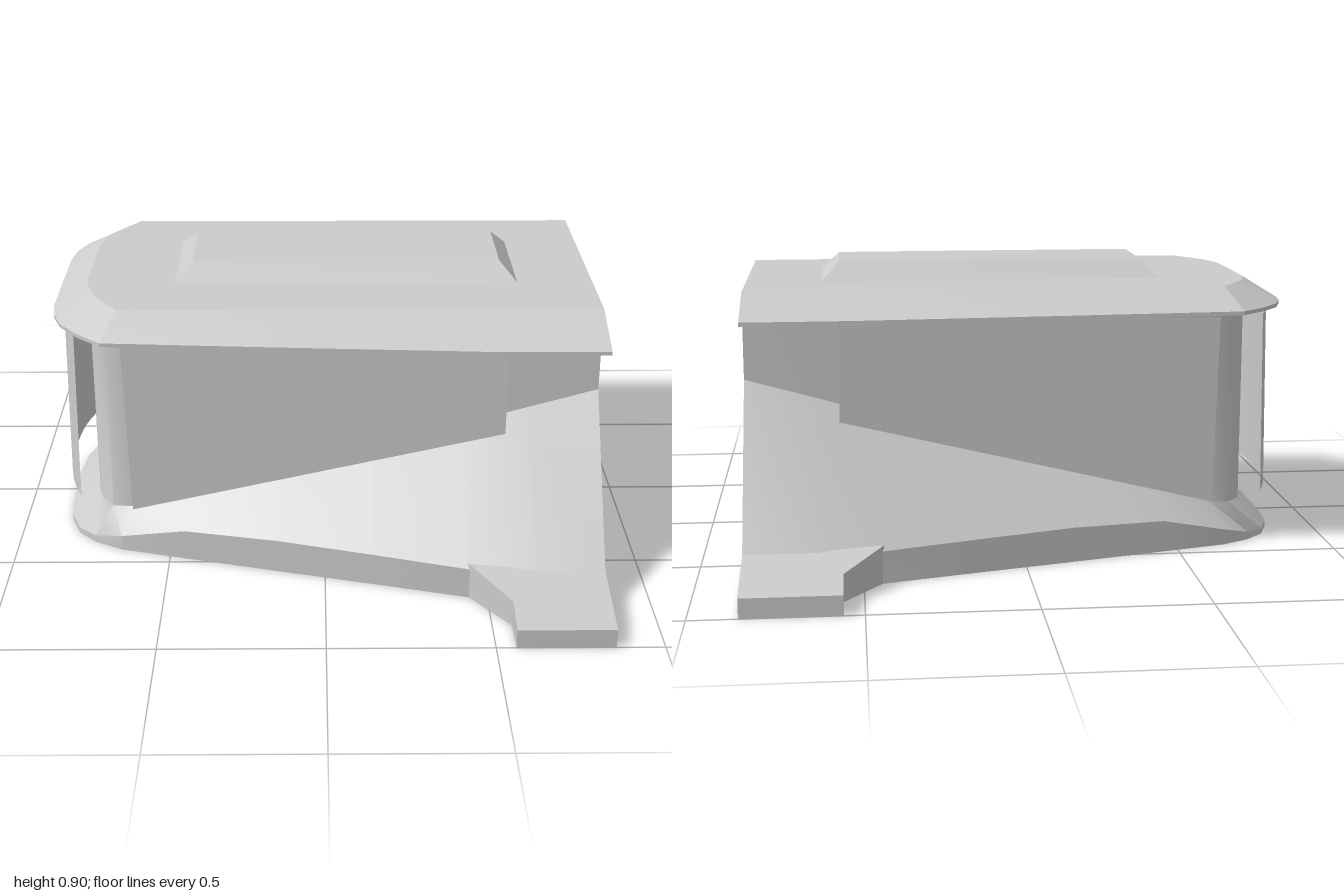
import * as THREE from 'three';
import { toCreasedNormals } from 'three/addons/utils/BufferGeometryUtils.js';

const material = new THREE.MeshStandardMaterial({ color: 0xcccccc });
const sheetMaterial = new THREE.MeshStandardMaterial({ color: 0xcccccc, side: THREE.DoubleSide });

// Solid from stacked half outlines of [x, y, z], mirrored in z, flat at the +x end
function loft(halfRings, crease) {
  const rings = halfRings.map((h) => [...h, ...h.map(([x, y, z]) => [x, y, -z]).reverse()]);
  const pos = [];
  const quad = (a, b, c, d) => pos.push(...a, ...b, ...c, ...a, ...c, ...d);
  const count = rings[0].length, last = count - 1;
  for (let r = 0; r < rings.length - 1; r++) {
    const lo = rings[r], hi = rings[r + 1];
    for (let i = 0; i < last; i++) quad(lo[i], hi[i], hi[i + 1], lo[i + 1]);
    quad(lo[0], lo[last], hi[last], hi[0]);
  }
  const bottom = rings[0], top = rings[rings.length - 1];
  for (let i = 0; i < count / 2 - 1; i++) {
    quad(top[i], top[last - i], top[last - i - 1], top[i + 1]);
    quad(bottom[i], bottom[i + 1], bottom[last - i - 1], bottom[last - i]);
  }
  const geometry = new THREE.BufferGeometry();
  geometry.setAttribute('position', new THREE.Float32BufferAttribute(pos, 3));
  return toCreasedNormals(geometry, crease);
}

// Moves every vertex by a rule, then refreshes the normals
function reshape(geometry, rule) {
  const p = geometry.attributes.position;
  for (let i = 0; i < p.count; i++) p.setXYZ(i, ...rule(p.getX(i), p.getY(i), p.getZ(i)));
  geometry.computeVertexNormals();
  return geometry;
}

export function createModel() {
  const model = new THREE.Group();
  const add = (name, geometry, mat = material) => {
    const mesh = new THREE.Mesh(geometry, mat);
    mesh.name = name;
    model.add(mesh);
    return mesh;
  };

  // Body stations: skirt x, z, height; wall x, z, height where the flare meets it
  const stations = [
    [0.855, 0.75, 0.11, 0.855, 0.42, 0.57],
    [0.64, 0.75, 0.11, 0.64, 0.42, 0.51],
    [0.44, 0.72, 0.10, 0.44, 0.415, 0.45],
    [0.15, 0.64, 0.105, 0.15, 0.405, 0.365],
    [-0.15, 0.56, 0.11, -0.15, 0.39, 0.28],
    [-0.45, 0.478, 0.10, -0.43, 0.38, 0.2],
    [-0.66, 0.42, 0.05, -0.62, 0.365, 0.13],
    [-0.75, 0.37, 0.025, -0.69, 0.34, 0.12],
    [-0.81, 0.31, 0.02, -0.735, 0.28, 0.12],
    [-0.845, 0.22, 0.02, -0.75, 0.2, 0.12],
    [-0.855, 0.1, 0.02, -0.755, 0.1, 0.12],
  ];
  add('body', loft([
    stations.map(([x, z]) => [x, 0, z]),
    stations.map(([x, z, y]) => [x, y, z]),
    stations.map(([, , , x, z, y]) => [x, y, z]),
    stations.map(([, , , x, z]) => [x, 0.775, z]),
  ], 0.62));

  // Roof with sloping eaves: eave x, z and ridge x, z
  const eaves = [
    [0.855, 0.6, 0.855, 0.42],
    [0.52, 0.6, 0.52, 0.42],
    [-0.15, 0.56, -0.15, 0.42],
    [-0.68, 0.525, -0.64, 0.42],
    [-0.76, 0.45, -0.68, 0.36],
    [-0.82, 0.37, -0.72, 0.295],
    [-0.85, 0.29, -0.745, 0.23],
    [-0.86, 0.21, -0.755, 0.17],
  ];
  add('roof', loft([
    eaves.map(([x, z]) => [x, 0.763, z]),
    eaves.map(([x, z]) => [x, 0.775, z]),
    eaves.map(([, , x, z]) => [x, 0.84, z]),
  ], 0.3));

  // Bevelled raised block on the roof
  add('roofHatch', loft([
    [[0.62, 0.835, 0.2], [-0.48, 0.835, 0.2]],
    [[0.56, 0.897, 0.14], [-0.42, 0.897, 0.14]],
  ], 0.1));

  // Curved screen hanging clear of the rounded end
  const screen = new THREE.PlaneGeometry(0.7, 0.58, 12, 1).rotateY(-Math.PI / 2);
  reshape(screen, (x, y, z) => [
    -0.85 + 0.062 * Math.pow(Math.abs(z) / 0.35, 2.5) + 0.014 * y, y + 0.45, z]);
  add('endScreen', screen, sheetMaterial);

  for (const side of [1, -1]) {
    const name = side > 0 ? 'front' : 'back';

    // Thin side panel, leaning outward towards the flat end
    const outline = new THREE.Shape([[-0.62, 0.14], [0.565, 0.44], [0.565, 0.74], [-0.635, 0.74]]
      .map(([x, y]) => new THREE.Vector2(x, y)));
    const panel = reshape(new THREE.ShapeGeometry(outline),
      (x, y) => [x, y, side * (0.405 + 0.055 * (x + 0.62))]);
    add(name + 'SidePanel', panel, sheetMaterial);

    // Foot with a top that slopes down outward
    const plan = new THREE.Shape([[0.56, 1], [0.855, 1], [0.855, 0.74], [0.64, 0.74], [0.44, 0.715], [0.56, 0.88]]
      .map(([x, z]) => new THREE.Vector2(x, -side * z)));
    const foot = new THREE.ExtrudeGeometry(plan, { depth: 1, bevelEnabled: false }).rotateX(-Math.PI / 2);
    reshape(foot, (x, y, z) => [x, y * (0.06 + 0.2 * (1 - Math.abs(z))), z]);
    add(name + 'Foot', foot);
  }
  return model;
}
